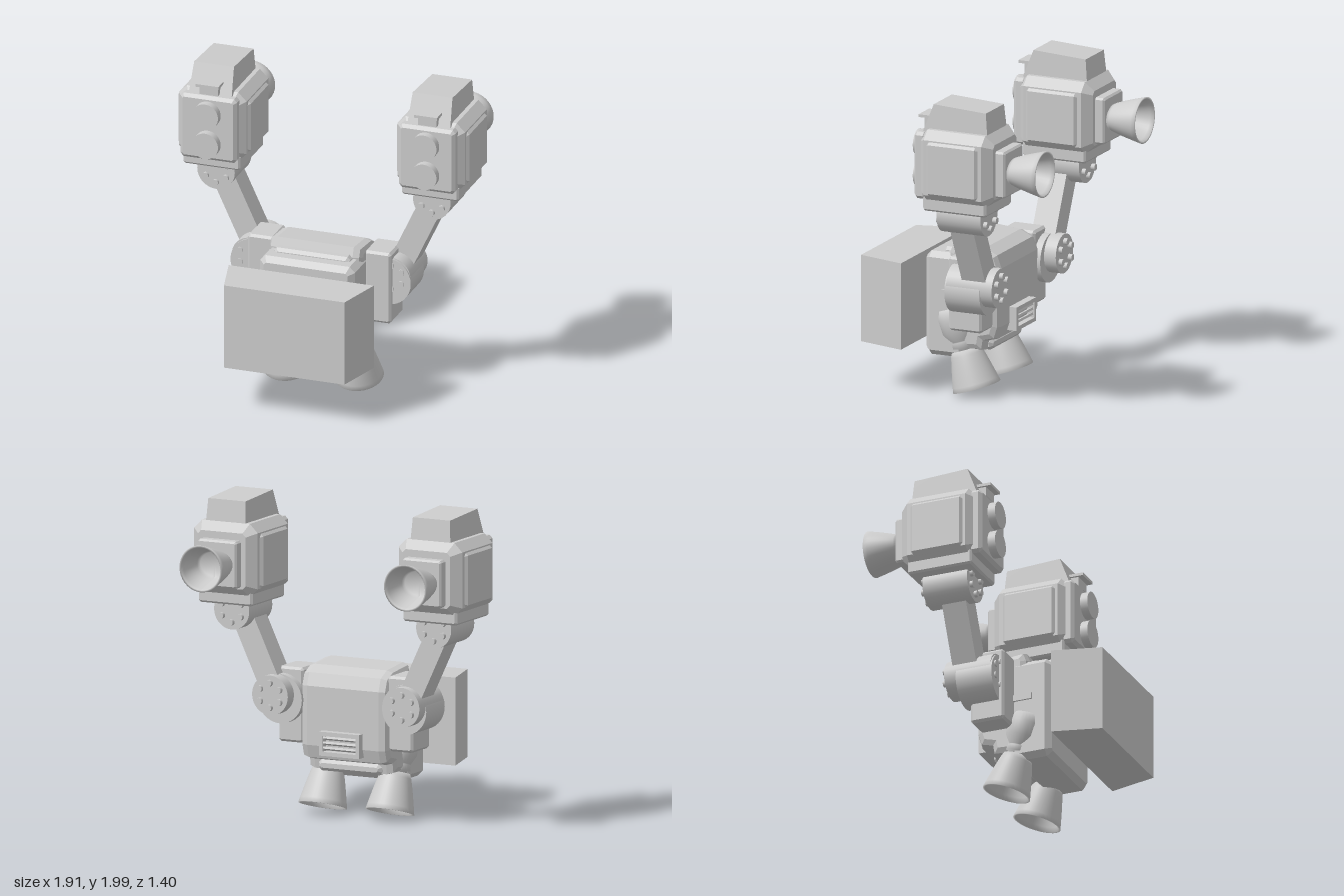
import * as THREE from 'three';

const grey = new THREE.MeshStandardMaterial({ color: 0xcccccc });
grey.name = 'light grey';

function add(parent, name, geo, x = 0, y = 0, z = 0) {
  const m = new THREE.Mesh(geo, grey);
  m.name = name;
  m.position.set(x, y, z);
  parent.add(m);
  return m;
}

// plain box from its limits
function box(parent, name, [x0, x1], [y0, y1], [z0, z1]) {
  return add(parent, name, new THREE.BoxGeometry(x1 - x0, y1 - y0, z1 - z0),
    (x0 + x1) / 2, (y0 + y1) / 2, (z0 + z1) / 2);
}

// box from its limits with every edge cut by c
function chamferBox(parent, name, [x0, x1], [y0, y1], [z0, z1], c) {
  const w = (x1 - x0) / 2, h = (y1 - y0) / 2, d = z1 - z0;
  const pts = [[w - c, -h], [w, c - h], [w, h - c], [w - c, h], [c - w, h], [-w, h - c], [-w, c - h], [c - w, -h]];
  const geo = new THREE.ExtrudeGeometry(new THREE.Shape(pts.map(p => new THREE.Vector2(...p))), {
    depth: d - 2 * c, bevelEnabled: true, bevelSegments: 1, bevelSize: c, bevelThickness: c, bevelOffset: -c,
  });
  geo.translate(0, 0, c - d / 2);
  return add(parent, name, geo, (x0 + x1) / 2, (y0 + y1) / 2, (z0 + z1) / 2);
}

// box whose vertices are moved by a rule
function shapedBox(w, h, d, rule) {
  const geo = new THREE.BoxGeometry(w, h, d);
  const p = geo.attributes.position, v = new THREE.Vector3();
  for (let i = 0; i < p.count; i++) {
    v.fromBufferAttribute(p, i);
    rule(v);
    p.setXYZ(i, v.x, v.y, v.z);
  }
  geo.computeVertexNormals();
  return geo;
}

// cylinder lying along z
function disc(parent, name, r, x, y, z0, z1, sides = 32) {
  const geo = new THREE.CylinderGeometry(r, r, z1 - z0, sides).rotateX(Math.PI / 2);
  return add(parent, name, geo, x, y, (z0 + z1) / 2);
}

// joint along z with rings of bolts on both ends
function joint(parent, name, r, x, y, z0, z1) {
  const g = new THREE.Group();
  g.name = name;
  parent.add(g);
  disc(g, 'jointBarrel', r, x, y, z0, z1);
  for (let i = 0; i < 6; i++) {
    const a = (i + 0.5) * Math.PI / 3;
    disc(g, 'bolt', r * 0.17, x + Math.cos(a) * r * 0.62, y + Math.sin(a) * r * 0.62, z0 - 0.025, z1 + 0.02, 10);
  }
}

// hollow bell opening towards -y, from y = 0 to y = -len
function bellGeo(r0, r1, len) {
  const outer = [], n = 8;
  for (let i = 0; i <= n; i++) {
    const t = i / n;
    outer.push(new THREE.Vector2(r0 + (r1 - r0) * Math.pow(t, 0.85), -len * t));
  }
  const inner = outer.slice(1).map(p => new THREE.Vector2(p.x - 0.012, p.y));
  const profile = [new THREE.Vector2(0, inner[0].y), ...inner, ...outer.reverse(), new THREE.Vector2(0, 0)];
  return new THREE.LatheGeometry(profile, 36);
}

function buildTorso(root) {
  const torso = new THREE.Group();
  torso.name = 'torso';
  root.add(torso);

  // rear body: side profile (z, y) swept across the width
  const side = [[0.13, 0.97], [-0.08, 0.95], [-0.16, 0.91], [-0.19, 0.83], [-0.19, 0.46], [-0.165, 0.38],
    [-0.09, 0.36], [-0.08, 0.30], [0.1, 0.29], [0.15, 0.4], [0.155, 0.91]];
  const geo = new THREE.ExtrudeGeometry(new THREE.Shape(side.map(([z, y]) => new THREE.Vector2(-z, y))), {
    depth: 0.5, bevelEnabled: true, bevelSegments: 2, bevelSize: 0.045, bevelThickness: 0.055, bevelOffset: -0.045,
  });
  geo.translate(0, 0, -0.25).rotateY(Math.PI / 2);
  add(torso, 'rearBody', geo);

  // front body
  chamferBox(torso, 'frontBody', [-0.31, 0.31], [0.24, 0.9], [0.04, 0.31], 0.035);
  chamferBox(torso, 'collarRidge', [-0.25, 0.25], [0.85, 0.925], [0.1, 0.21], 0.02);
  for (const s of [-1, 1]) box(torso, 'sideVent', [s * 0.31 - 0.012, s * 0.31 + 0.012], [0.63, 0.67], [0.07, 0.19]);
  chamferBox(torso, 'lowerBackPlate', [-0.22, 0.22], [0.29, 0.36], [-0.11, 0.02], 0.02);

  // back vent: frame and slats
  const frame = new THREE.Shape([[-0.14, -0.075], [0.14, -0.075], [0.14, 0.075], [-0.14, 0.075]].map(p => new THREE.Vector2(...p)));
  frame.holes.push(new THREE.Path([[-0.115, -0.05], [-0.115, 0.05], [0.115, 0.05], [0.115, -0.05]].map(p => new THREE.Vector2(...p))));
  add(torso, 'ventFrame', new THREE.ExtrudeGeometry(frame, { depth: 0.07, bevelEnabled: false }), 0, 0.485, -0.24);
  for (let i = -1; i <= 1; i++) {
    add(torso, 'ventSlat', new THREE.BoxGeometry(0.23, 0.014, 0.04), 0, 0.485 + i * 0.032, -0.212).rotation.x = 0.4;
  }
}

function buildThruster(root, s) {
  const g = new THREE.Group();
  g.name = 'legThruster';
  g.position.set(s * 0.235, 0.545, 0.145);
  g.rotation.x = 0.312;
  root.add(g);
  const pod = [[0, -0.3], [0.07, -0.3], [0.075, -0.255], [0.088, -0.25], [0.088, -0.215], [0.083, -0.21],
    [0.115, -0.15], [0.118, -0.06], [0.1, 0], [0, 0]];
  const podGeo = new THREE.LatheGeometry(pod.map(p => new THREE.Vector2(...p)), 32);
  add(g, 'thrusterPod', podGeo);
  add(g, 'thrusterBell', bellGeo(0.092, 0.152, 0.245), 0, -0.27, 0);
}

function buildArm(root, s) {
  const arm = new THREE.Group();
  arm.name = s > 0 ? 'leftArm' : 'rightArm';
  root.add(arm);
  const lim = (a, b) => s > 0 ? [a, b] : [-b, -a];

  // shoulder and upper arm
  chamferBox(arm, 'shoulderBlock', lim(0.295, 0.47), [0.46, 0.93], [-0.155, 0.07], 0.015);
  disc(arm, 'shoulderDrum', 0.155, s * 0.435, 0.735, -0.2, 0.04);
  joint(arm, 'shoulderJoint', 0.125, s * 0.46, 0.765, -0.28, 0.03);
  add(arm, 'armBeam', new THREE.BoxGeometry(0.15, 0.57, 0.16), s * 0.583, 1.025, -0.15).rotation.z = -s * 0.438;
  joint(arm, 'elbowJoint', 0.123, s * 0.706, 1.285, -0.32, -0.02);

  // head pod
  const pod = new THREE.Group();
  pod.name = 'armPod';
  pod.position.x = s * 0.715;
  arm.add(pod);
  chamferBox(pod, 'podBase', [-0.188, 0.188], [1.33, 1.43], [-0.39, 0.04], 0.012);
  chamferBox(pod, 'podBody', [-0.222, 0.222], [1.385, 1.845], [-0.432, 0.07], 0.055);
  chamferBox(pod, 'frontPlate', [-0.185, 0.185], [1.4, 1.825], [0.02, 0.105], 0.02);
  for (const k of [-1, 1]) {
    chamferBox(pod, 'sidePanel', [k * 0.21 - 0.028, k * 0.21 + 0.028], [1.43, 1.79], [-0.36, 0.005], 0.025);
  }

  // sloping cap
  const cap = shapedBox(0.28, 0.18, 0.44, v => {
    if (v.y < 0) return;
    v.x *= 0.93;
    v.y += v.z > 0 ? 0 : -0.02;
    v.z += v.z > 0 ? -0.07 : 0.015;
  });
  add(pod, 'topCap', cap, 0, 1.91, -0.16);

  // front lenses and clip
  for (const y of [1.515, 1.71]) disc(pod, 'lens', 0.085, 0, y, 0.09, 0.155);
  box(pod, 'clipTop', [-0.075, 0.075], [1.89, 1.908], [0.02, 0.12]);
  box(pod, 'clipBody', [-0.06, 0.06], [1.83, 1.89], [0.02, 0.085]);

  // rear plate and bell, flatter at the neck than at the mouth
  chamferBox(pod, 'rearPlate', [-0.135, 0.135], [1.45, 1.745], [-0.495, -0.41], 0.012);
  const geo = bellGeo(0.078, 0.146, 0.215);
  const p = geo.attributes.position;
  for (let i = 0; i < p.count; i++) p.setX(i, p.getX(i) * (1.38 + 0.36 * p.getY(i) / 0.215));
  geo.computeVertexNormals();
  add(pod, 'rearBell', geo, 0, 1.6, -0.49).rotation.x = Math.PI / 2;
}

export function createModel() {
  const root = new THREE.Group();
  root.name = 'robot';
  buildTorso(root);
  for (const s of [1, -1]) {
    buildArm(root, s);
    buildThruster(root, s);
  }
  // floating block, narrower at the front
  const crate = shapedBox(0.95, 0.55, 0.31, v => { if (v.z > 0) v.x *= 0.83; });
  add(root, 'frontBlock', crate, 0, 0.575, 0.545);
  return root;
}
